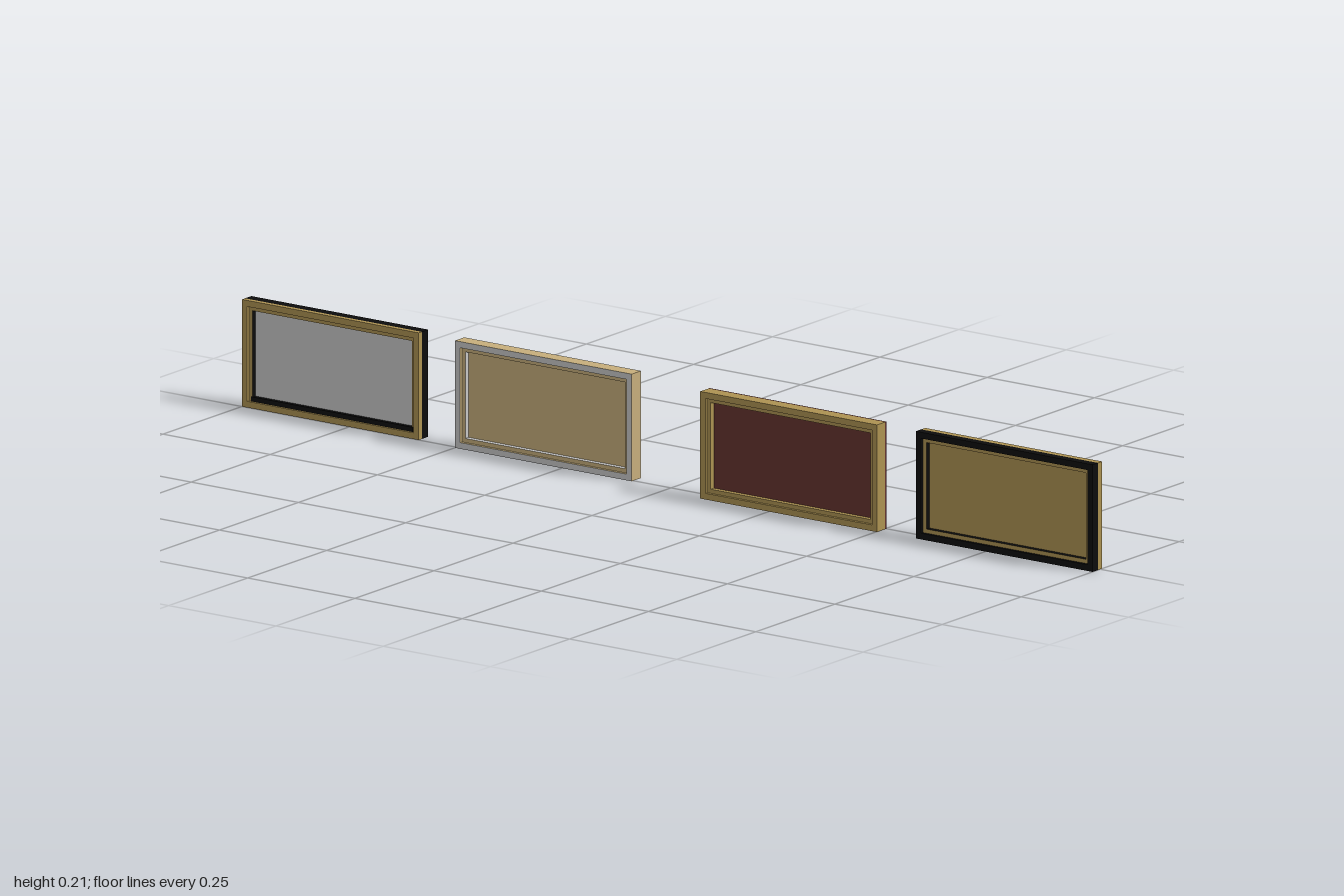
import * as THREE from 'three';

const W = 0.412, H = 0.208;

const mat = (name, color) => {
  const m = new THREE.MeshStandardMaterial({ color });
  m.name = name;
  return m;
};

// Rectangular ring between two insets from the panel edge, from z0 to z1
function ring(name, inset, bar, z0, z1, faceMat, sideMat) {
  const rect = (Type, i) => {
    const x = W / 2 - i, y = H / 2 - i;
    return new Type([[-x, -y], [x, -y], [x, y], [-x, y]].map(p => new THREE.Vector2(...p)));
  };
  const shape = rect(THREE.Shape, inset);
  shape.holes.push(rect(THREE.Path, inset + bar));
  const geo = new THREE.ExtrudeGeometry(shape, { depth: z1 - z0, bevelEnabled: false });
  const mesh = new THREE.Mesh(geo, [faceMat, sideMat]);
  mesh.position.z = z0;
  mesh.name = name;
  return mesh;
}

function plate(name, inset, z0, z1, material) {
  const geo = new THREE.BoxGeometry(W - 2 * inset, H - 2 * inset, z1 - z0);
  const mesh = new THREE.Mesh(geo, material);
  mesh.position.z = (z0 + z1) / 2;
  mesh.name = name;
  return mesh;
}

export function createModel() {
  const gold = mat('gold', 0xad9252);
  const tan = mat('tan', 0xc6ae7c);
  const grey = mat('silverGrey', 0xc9c9c9);
  const maroon = mat('maroon', 0x65342e);
  const black = mat('black', 0x0d0d0d);

  // split: depth at which the back edge colour changes to the front rim colour
  const panels = [
    { name: 'greyPanel', x: -0.794, z: -0.03, back: black, split: 0.02, rim: gold, face: gold, ledge: gold, wall: black, centre: grey },
    { name: 'tanPanel', x: -0.294, z: -0.025, back: grey, split: 0.002, rim: tan, face: grey, ledge: tan, wall: grey, centre: tan },
    { name: 'maroonPanel', x: 0.296, z: 0, back: maroon, split: 0.004, rim: gold, face: gold, ledge: gold, wall: gold, centre: maroon },
    { name: 'goldPanel', x: 0.794, z: -0.006, back: gold, split: 0.013, rim: black, face: black, ledge: gold, wall: black, centre: gold },
  ];

  const model = new THREE.Group();
  model.name = 'framedPanels';
  for (const p of panels) {
    const g = new THREE.Group();
    g.name = p.name;
    g.position.set(p.x, H / 2, p.z);
    const floor = 0.013;
    // Back board and outer frame
    g.add(plate('backBoard', 0, 0, Math.min(p.split, floor), p.back));
    if (p.split > floor) g.add(ring('frameBase', 0, 0.012, floor, p.split, p.back, p.back));
    g.add(ring('frameRim', 0, 0.012, p.split, 0.03, p.face, p.rim));
    // Stepped inner moulding and recessed centre
    g.add(ring('innerMoulding', 0.012, 0.008, Math.min(p.split, floor), 0.024, p.ledge, p.wall));
    g.add(plate('centrePanel', 0.02, Math.min(p.split, floor), floor + 0.001, p.centre));
    // Dark sill along the lower inside edge
    if (p.wall === black && p.ledge === gold && p.centre === grey) {
      const sill = new THREE.Mesh(new THREE.BoxGeometry(W - 0.036, 0.009, 0.002), black);
      sill.position.set(0, -H / 2 + 0.0165, 0.0245);
      sill.name = 'sill';
      g.add(sill);
    }
    model.add(g);
  }
  return model;
}
